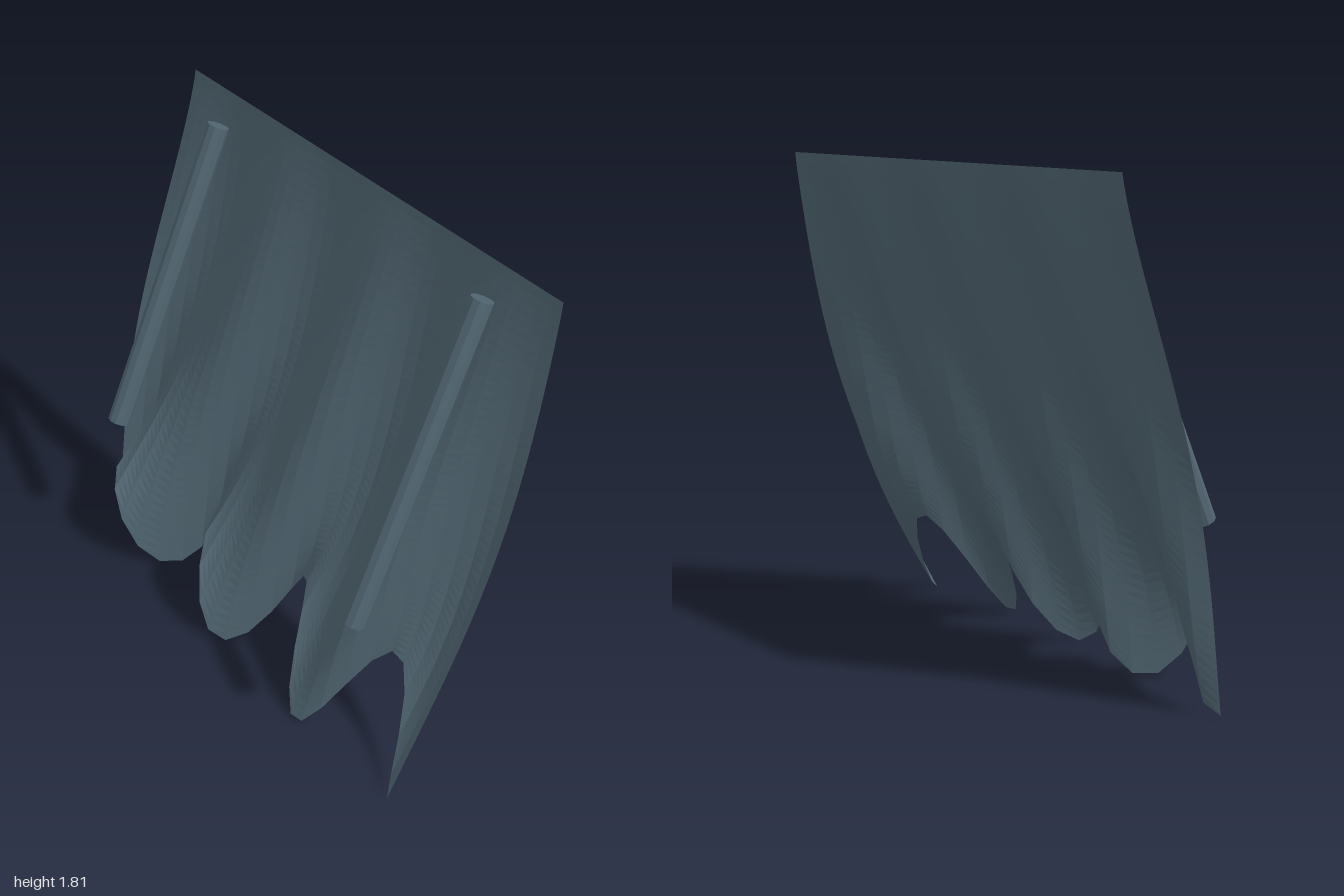
import * as THREE from 'three';

const TOP = 1.81;

// Hanging sheet: leans forward, with slanting folds that deepen toward a scalloped hem
function sheetPoint(x, v, target) {
  const hem = 0.19 * (1 - Math.cos(4 * Math.PI * x));
  const fold = 0.13 * v * Math.cos(11.05 * (x + 0.08) - 3.4 * (1 - v));
  const lean = -0.335 + 0.535 * Math.pow(v, 1.18);
  return target.set(x, TOP * (1 - v) + hem * v * v, lean + fold);
}

function makeSheet(material) {
  const geometry = new THREE.PlaneGeometry(2, 1, 38, 48);
  const position = geometry.attributes.position;
  const p = new THREE.Vector3();
  for (let i = 0; i < position.count; i++) {
    sheetPoint(position.getX(i), 0.5 - position.getY(i), p);
    position.setXYZ(i, p.x, p.y, p.z);
  }
  geometry.computeVertexNormals();
  const sheet = new THREE.Mesh(geometry, material);
  sheet.name = 'foldedSheet';
  return sheet;
}

// Slanted rod standing just in front of the sheet
function makeRod(side, material) {
  const rod = new THREE.Mesh(new THREE.CylinderGeometry(0.042, 0.042, 1.23, 10), material);
  rod.position.set(side * 0.73, 1.157, 0.005);
  rod.rotation.x = -0.418;
  rod.name = side > 0 ? 'leftRod' : 'rightRod';
  return rod;
}

export function createModel() {
  const slate = new THREE.MeshStandardMaterial({
    color: 0x506571, flatShading: true, side: THREE.DoubleSide,
  });
  slate.name = 'slateBlue';

  const model = new THREE.Group();
  model.name = 'hangingCloth';
  model.add(makeSheet(slate));
  for (const side of [-1, 1]) model.add(makeRod(side, slate));
  return model;
}
